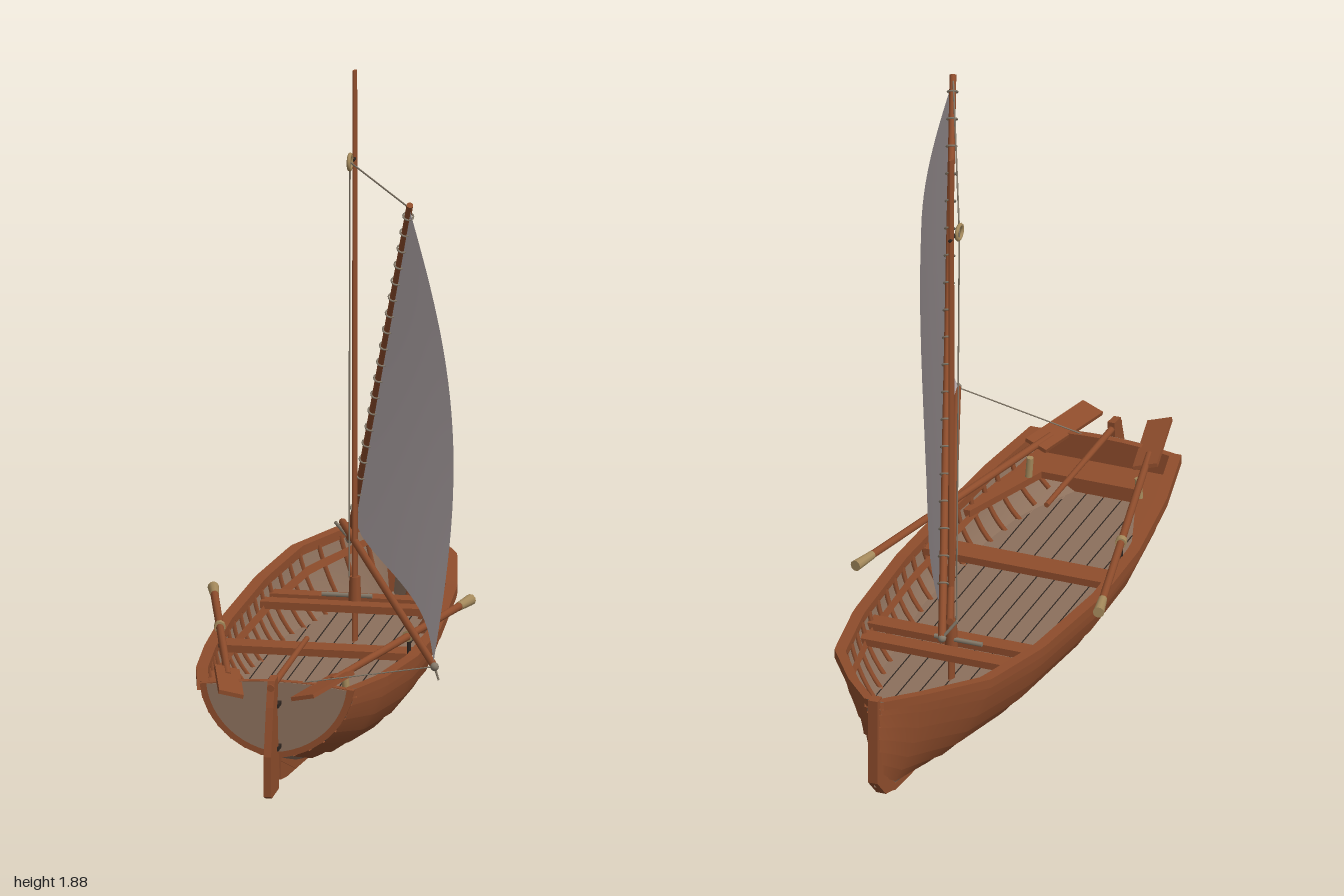
import * as THREE from 'three';
import { toCreasedNormals } from 'three/addons/utils/BufferGeometryUtils.js';

const CX = -0.045; // centreline of the boat
const V = (x, y, z) => new THREE.Vector3(x, y, z);
const mat = (name, color) => new THREE.MeshStandardMaterial({ name, color, side: THREE.DoubleSide });

// Hull stations: z, half beam, sheer height, keel height, roundness
const stations = [
  [-0.985, 0.018, 0.375, 0.1, 0], [-0.87, 0.115, 0.365, 0.03, 0.3], [-0.68, 0.235, 0.342, 0.016, 0.62],
  [-0.4, 0.288, 0.318, 0.012, 0.82], [0, 0.315, 0.295, 0.012, 0.9], [0.3, 0.305, 0.29, 0.016, 0.9],
  [0.6, 0.272, 0.305, 0.05, 0.9], [0.83, 0.225, 0.325, 0.115, 0.85],
];
const Z0 = -0.985, Z1 = 0.83, FLOOR = 0.15;
function station(z) {
  let i = 0;
  while (i < stations.length - 2 && z > stations[i + 1][0]) i++;
  const a = stations[i], b = stations[i + 1], k = (z - a[0]) / (b[0] - a[0]);
  return a.map((v, j) => v + (b[j] - v) * k);
}
// Point on the hull: t = 0 at keel, 1 at sheer; off pushes outward
function hullPoint(z, t, side, off = 0) {
  const [, w, s, k, e] = station(z), a = t * Math.PI / 2;
  const x = w * (e * Math.sin(a) + (1 - e) * t) + off * Math.sin(a);
  const y = k + (s - k) * (e * (1 - Math.cos(a)) + (1 - e) * t) - off * Math.cos(a);
  return V(CX + side * Math.max(x, 0), y, z);
}

// Surface from a rule f(u, v)
function grid(f, nu, nv, crease = 0.6) {
  const pos = [], idx = [];
  for (let i = 0; i <= nu; i++) for (let j = 0; j <= nv; j++) pos.push(...f(i / nu, j / nv).toArray());
  for (let i = 0; i < nu; i++) for (let j = 0; j < nv; j++) {
    const a = i * (nv + 1) + j, b = a + nv + 1;
    idx.push(a, b, a + 1, b, b + 1, a + 1);
  }
  const g = new THREE.BufferGeometry();
  g.setAttribute('position', new THREE.Float32BufferAttribute(pos, 3));
  g.setIndex(idx);
  return toCreasedNormals(g, crease);
}

export function createModel() {
  const root = new THREE.Group();
  const wood = mat('redWood', 0x8f4d2c), tan = mat('agedPlank', 0x8c705c), dark = mat('darkIron', 0x2e2520);
  const cloth = mat('sailCloth', 0xc0b5b7), rope = mat('rope', 0x857a6a), pale = mat('paleFitting', 0xa58a5c);

  const add = (name, geo, m, parent = root) => {
    const mesh = new THREE.Mesh(geo, m);
    mesh.name = name;
    parent.add(mesh);
    return mesh;
  };
  const box = (name, w, h, d, x, y, z, m) => add(name, new THREE.BoxGeometry(w, h, d), m).position.set(x, y, z);
  const rod = (name, a, b, r0, r1, m, n = 10) => {
    const d = b.clone().sub(a);
    const o = add(name, new THREE.CylinderGeometry(r1, r0, d.length(), n), m);
    o.position.copy(a).addScaledVector(d, 0.5);
    o.quaternion.setFromUnitVectors(V(0, 1, 0), d.normalize());
    return o;
  };
  // Upright board on the centreline from a (z, y) outline
  const board = (name, pts, thick, m) => {
    const g = new THREE.ExtrudeGeometry(new THREE.Shape(pts.map(p => new THREE.Vector2(...p))), { depth: thick, bevelEnabled: false });
    g.translate(0, 0, -thick / 2).rotateY(-Math.PI / 2).translate(CX, 0, 0);
    add(name, g, m);
  };
  const zAt = u => Z0 + (Z1 - Z0) * u;

  // Clinker planking with pale lowest strake, ledges, lining, ribs and gunwales
  const strakes = 7;
  for (const side of [-1, 1]) {
    for (let i = 0; i < strakes; i++) {
      const t0 = i / strakes, t1 = (i + 1) / strakes;
      add('strake', grid((u, v) => hullPoint(zAt(u), t0 + (t1 - t0) * v, side, 0.008 * (1 - v)), 48, 2), i ? wood : tan);
      if (i) add('strakeLedge', grid((u, v) => hullPoint(zAt(u), t0 - 0.004 * v, side, 0.008 * (1 - v)), 48, 1), wood);
    }
    add('lining', grid((u, v) => hullPoint(zAt(u), v, side, -0.012), 48, 10), tan);
    for (let i = 0; i < 22; i++) {
      const z = -0.9 + i * 0.079;
      const pts = [0.5, 0.62, 0.74, 0.86, 0.97].map(t => hullPoint(z, t, side, -0.016));
      add('rib', new THREE.TubeGeometry(new THREE.CatmullRomCurve3(pts), 8, 0.008, 5), wood);
    }
    add('stringer', grid((u, v) => hullPoint(-0.93 + 1.74 * u, 0.81 + 0.06 * v, side, -0.025), 40, 1), wood);
    const rim = [[0.013, 0.006], [0.013, -0.022], [-0.022, -0.022], [-0.022, 0.006], [0.013, 0.006]];
    add('gunwale', grid((u, v) => {
      const z = zAt(u), s = station(z), r = rim[Math.round(v * 4)];
      return V(CX + side * Math.max(s[1] + r[0], 0), s[2] + r[1], z);
    }, 48, 4, 0.5), wood);
  }

  // Floor boards, trimmed to the hull, over dark gaps
  const floorHalf = z => {
    let t = 0;
    while (t < 1 && hullPoint(z, t, 1, -0.012).y < FLOOR) t += 0.01;
    return hullPoint(z, t, 1, -0.012).x - CX;
  };
  const floor = (name, a, b, y, m) => add(name, grid((u, v) => {
    const z = -0.96 + 1.78 * u, h = floorHalf(z);
    return V(CX + THREE.MathUtils.clamp(a + (b - a) * v, -h, h), y, z);
  }, 50, 1), m);
  floor('floorGaps', -0.3, 0.3, FLOOR - 0.004, dark);
  for (let i = -5; i < 5; i++) floor('floorBoard', i * 0.055 + 0.002, i * 0.055 + 0.053, FLOOR, tan);

  // Keel, stem and skeg
  const keelTop = stations.map(s => [s[0], s[3] + 0.012]);
  board('keel', [[-0.93, 0.05], [-0.85, 0.018], [-0.6, 0], [0.4, 0], [0.62, 0.025], [0.83, 0.1], ...keelTop.reverse()], 0.026, wood);
  board('stem', [[-0.995, 0.383], [-0.995, 0.11], [-0.93, 0.045], [-0.86, 0.025], [-0.86, 0.05], [-0.95, 0.12], [-0.96, 0.383]], 0.03, wood);
  board('skeg', [[0.4, 0], [0.74, 0.03], [0.83, 0.045], [0.83, 0.13], [0.6, 0.06]], 0.024, wood);

  // Transom with an inset panel
  const transom = (name, k, z, depth, m) => {
    const pts = [];
    for (let i = -12; i <= 12; i++) {
      const p = hullPoint(Z1, Math.abs(i) / 12, Math.sign(i) || 1, 0.004);
      pts.push(new THREE.Vector2(CX + (p.x - CX) * k, 0.325 + (p.y - 0.325) * k));
    }
    for (let i = 1; i < 8; i++) {
      const q = 1 - i / 4;
      pts.push(new THREE.Vector2(CX + 0.229 * k * q, 0.325 + 0.018 * k * (1 - q * q)));
    }
    add(name, new THREE.ExtrudeGeometry(new THREE.Shape(pts), { depth, bevelEnabled: false }).translate(0, 0, z), m);
  };
  transom('transom', 1, 0.815, 0.022, wood);
  transom('transomPanel', 0.91, 0.837, 0.004, tan);

  // Thwarts and stern bench
  for (const [z, d] of [[-0.435, 0.055], [-0.34, 0.055], [0.157, 0.08]])
    box('thwart', 2 * (station(z)[1] - 0.022), 0.022, d, CX, 0.262, z, wood);
  const half = [[0.255, 0.4], [0.278, 0.4], [0.25, 0.6], [0.2, 0.82]];
  const bench = [...half, ...half.map(([x, z]) => [-x, z]).reverse(), [-0.15, 0.7], [0.15, 0.7]];
  const benchGeo = new THREE.ExtrudeGeometry(new THREE.Shape(bench.map(p => new THREE.Vector2(...p))), { depth: 0.022, bevelEnabled: false });
  add('sternBench', benchGeo.rotateX(Math.PI / 2).translate(CX, 0.262, 0), wood);

  // Rudder, tiller and hinges
  board('rudder', [[0.87, 0.37], [0.92, 0.365], [0.945, 0.29], [0.98, 0.15], [0.98, 0.03], [0.965, 0.022], [0.86, 0.025], [0.85, 0.07], [0.872, 0.2], [0.878, 0.28]], 0.022, wood);
  rod('tiller', V(CX, 0.35, 0.365), V(CX, 0.345, 0.93), 0.008, 0.011, wood);
  for (const y of [0.15, 0.28]) box('rudderHinge', 0.03, 0.012, 0.05, CX, y, 0.86, dark);

  // Oars with grips, collars and rowlocks
  for (const side of [-1, 1]) {
    const a = V(CX + side * 0.383, 0.345, -0.18), b = V(CX + side * 0.105, 0.338, 0.995);
    const at = k => a.clone().lerp(b, k);
    rod('oarShaft', at(0.07), at(0.82), 0.012, 0.011, wood);
    rod('oarGrip', a, at(0.07), 0.017, 0.013, pale);
    rod('oarCollar', at(0.358), at(0.376), 0.017, 0.017, pale);
    const blade = add('oarBlade', new THREE.BoxGeometry(0.074, 0.29, 0.012), wood);
    blade.position.copy(at(0.876));
    blade.quaternion.setFromUnitVectors(V(0, 1, 0), b.clone().sub(a).normalize());
    const p = at(0.365);
    rod('rowlockPin', V(p.x, 0.28, p.z), V(p.x, 0.335, p.z), 0.006, 0.006, dark, 6);
    rod('benchPeg', V(CX + side * 0.175, 0.26, 0.66), V(CX + side * 0.17, 0.325, 0.66), 0.011, 0.011, pale, 8);
  }

  // Mast (a slim oval, slightly turned), yard and boom
  const peak = V(0.272, 1.69, 0.42), heel = V(-0.1, 0.4, -0.59);
  const boomFore = V(-0.12, 0.454, -0.58), boomAft = V(0.425, 0.41, 0.835);
  const mast = rod('mast', V(CX, 0.09, -0.38), V(CX, 1.875, -0.38), 0.013, 0.01, wood);
  mast.scale.x = 0.5;
  mast.rotation.y = -0.4;
  rod('mastCollar', V(CX, 0.25, -0.38), V(CX, 0.345, -0.38), 0.02, 0.016, wood);
  rod('yard', heel, peak, 0.012, 0.01, wood);
  rod('boom', boomFore, boomAft, 0.011, 0.011, wood);
  for (const p of [heel, boomAft]) add('sparEnd', new THREE.SphereGeometry(0.013, 10, 8), rope).position.copy(p);

  // Sail bellied to one side, with a hollow trailing edge
  const tack = V(-0.073, 0.47, -0.53), head = V(0.268, 1.68, 0.412), clew = V(0.42, 0.42, 0.825);
  const sailPoint = (u, v) => {
    const p = tack.clone().lerp(head, u).lerp(clew.clone().lerp(head, u), v);
    const belly = 0.085 * Math.sin(Math.PI * u) * v + 0.06 * Math.sin(Math.PI * v) * (1 - u);
    p.addScaledVector(V(0.94, 0, -0.35), belly);
    p.z -= 0.04 * Math.sin(Math.PI * u) * v;
    p.y -= 0.04 * Math.sin(Math.PI * Math.sqrt(v)) * (1 - u) ** 6;
    return p;
  };
  add('sail', grid(sailPoint, 28, 20, 1), cloth);

  // Lacing along the yard
  const along = peak.clone().sub(heel).normalize();
  for (let i = 0; i < 19; i++) {
    const ring = add('lacing', new THREE.TorusGeometry(0.015, 0.003, 5, 12), rope);
    ring.position.copy(heel).lerp(peak, 0.1 + i * 0.0485);
    ring.position.y -= 0.006;
    ring.quaternion.setFromUnitVectors(V(0, 0, 1), along);
  }

  // Halyard, block and sheet
  const block = V(CX - 0.005, 1.61, -0.33);
  const ring = add('halyardRing', new THREE.TorusGeometry(0.022, 0.006, 8, 18), pale);
  ring.position.copy(block);
  ring.rotation.y = Math.PI / 2;
  rod('ringStrap', V(CX, 1.61, -0.35), V(CX, 1.61, -0.395), 0.005, 0.005, dark, 6);
  rod('halyard', head, block, 0.0025, 0.0025, rope, 6);
  rod('halyardFall', block, V(CX - 0.018, 0.34, -0.385), 0.0025, 0.0025, rope, 6);
  rod('sheet', boomAft, V(0.03, 0.34, 0.825), 0.002, 0.002, rope, 6);
  rod('sheetTail', boomAft, V(0.437, 0.37, 0.835), 0.004, 0.003, rope, 6);
  rod('tackLashing', heel, V(-0.14, 0.455, -0.57), 0.005, 0.005, rope, 6);
  rod('belayingBar', V(CX - 0.1, 0.285, -0.387), V(CX + 0.05, 0.285, -0.387), 0.007, 0.007, rope, 6);
  return root;
}
